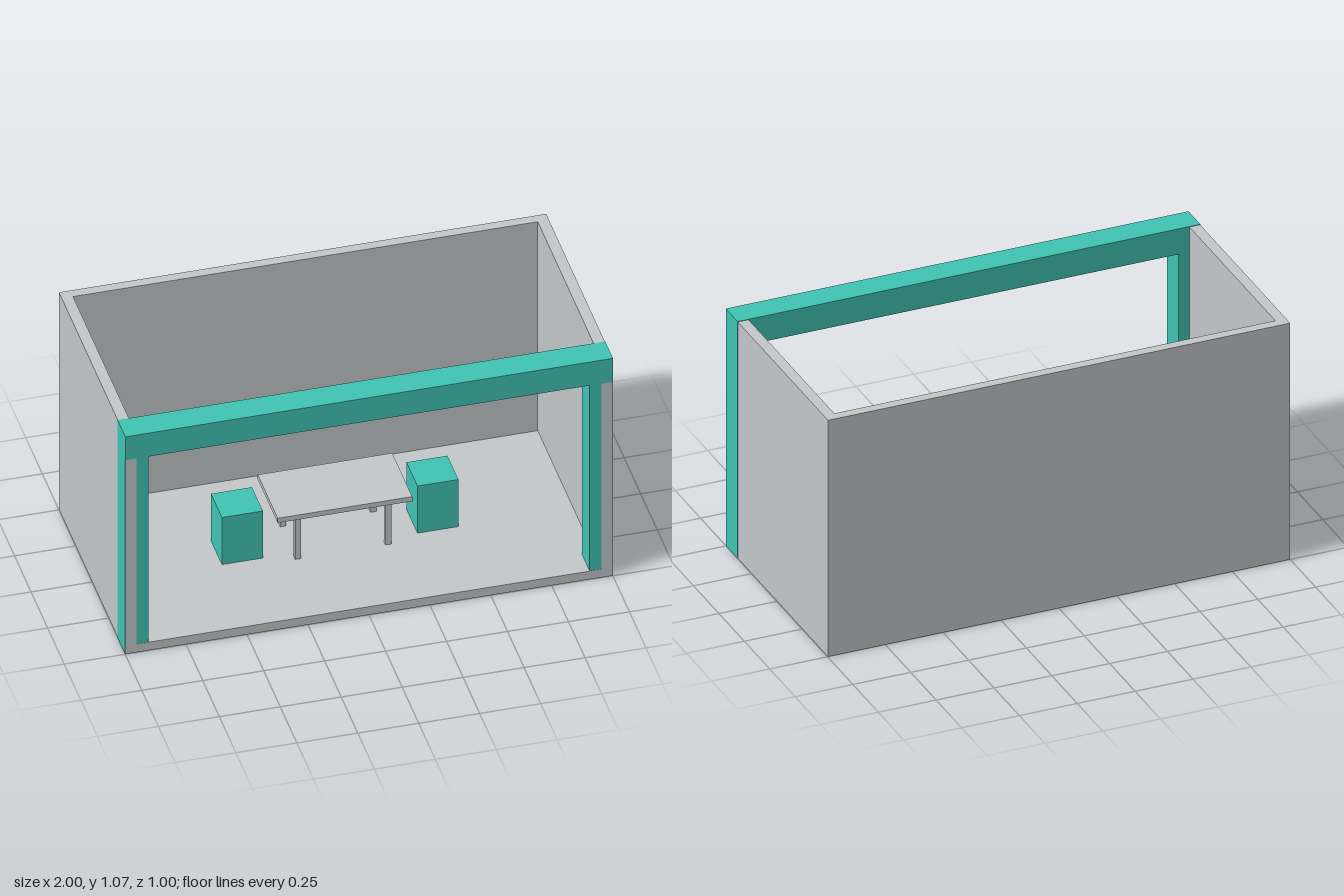
import * as THREE from 'three';

const grey = new THREE.MeshStandardMaterial({ color: 0xc4c8ca });
grey.name = 'light grey';
const teal = new THREE.MeshStandardMaterial({ color: 0x40c4b4 });
teal.name = 'teal';

// Box given by its extents along each axis
function box(name, material, [x0, x1], [y0, y1], [z0, z1]) {
  const mesh = new THREE.Mesh(new THREE.BoxGeometry(x1 - x0, y1 - y0, z1 - z0), material);
  mesh.position.set((x0 + x1) / 2, (y0 + y1) / 2, (z0 + z1) / 2);
  mesh.name = name;
  return mesh;
}

// Same box on either side of the x = 0 plane
const mirrorX = ([a, b], side) => (side > 0 ? [a, b] : [-b, -a]);

export function createModel() {
  const model = new THREE.Group();
  model.name = 'openBooth';

  // Shell: floor, back wall and side walls
  const shell = new THREE.Group();
  shell.name = 'shell';
  shell.add(box('floor', grey, [-0.999, 0.999], [0.001, 0.041], [-0.502, 0.5]));
  shell.add(box('backWall', grey, [-0.999, 0.999], [0.041, 1.067], [-0.502, -0.46]));

  // Front frame: a beam across two posts, a hair proud of the shell
  const frame = new THREE.Group();
  frame.name = 'frontFrame';
  frame.add(box('beam', teal, [-1, 1], [0.954, 1.069], [0.385, 0.502]));

  for (const side of [-1, 1]) {
    const label = side > 0 ? 'left' : 'right';
    shell.add(box(label + 'Wall', grey, mirrorX([0.953, 0.999], side), [0.041, 1.067], [-0.46, 0.5]));
    frame.add(box(label + 'Post', teal, mirrorX([0.905, 1], side), [0, 0.954], [0.385, 0.499]));
  }

  // Table with four square legs
  const table = new THREE.Group();
  table.name = 'table';
  table.add(box('tableTop', grey, [-0.278, 0.274], [0.254, 0.277], [-0.157, 0.145]));
  for (const x of [-0.187, 0.183]) {
    for (const z of [-0.119, 0.107]) {
      table.add(box('tableLeg', grey, [x - 0.012, x + 0.012], [0.041, 0.254], [z - 0.012, z + 0.012]));
    }
  }

  // Block stools at either end of the table
  const stools = new THREE.Group();
  stools.name = 'stools';
  for (const x of [-0.404, 0.398]) {
    stools.add(box('stool', teal, [x - 0.084, x + 0.084], [0.041, 0.272], [-0.089, 0.076]));
  }

  model.add(shell, frame, table, stools);
  return model;
}
